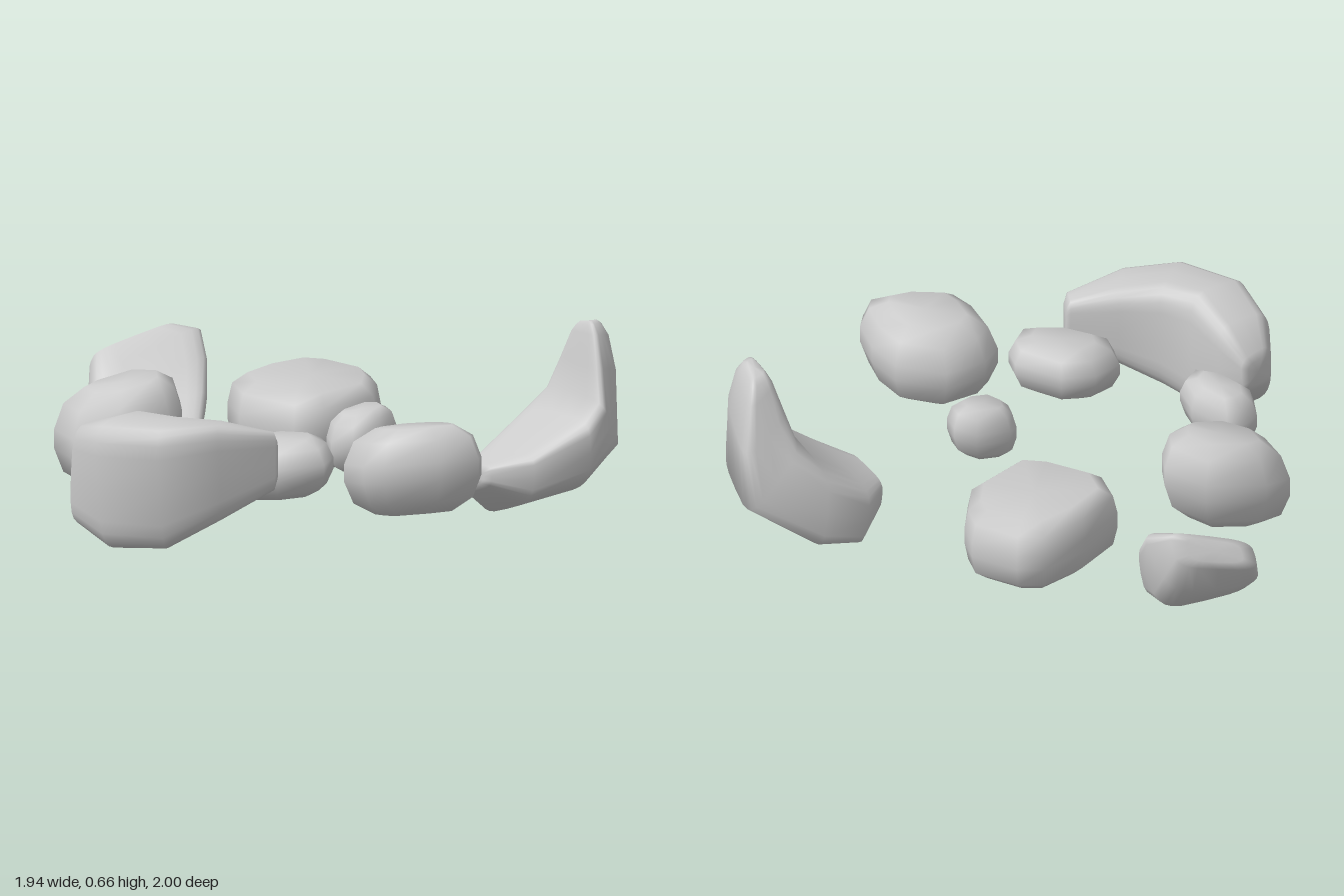
import * as THREE from 'three';

const material = new THREE.MeshStandardMaterial({ color: 0xcccccc });
const power = (v, e) => Math.sign(v) * Math.abs(v) ** e;
const centre = (ring) =>
  ring.reduce((s, p) => s.add(p), new THREE.Vector3()).divideScalar(ring.length);

// Skins a closed solid over rings of equal length, with a centre point on each end.
function loft(name, rings) {
  const n = rings[0].length;
  const points = rings.flat();
  const first = points.push(centre(rings[0])) - 1;
  const last = points.push(centre(rings[rings.length - 1])) - 1;
  const index = [];
  for (let j = 0; j < n; j++) {
    const k = (j + 1) % n;
    for (let r = 0; r < rings.length - 1; r++) {
      const a = r * n + j, b = r * n + k;
      index.push(a, b, a + n, b, b + n, a + n);
    }
    const end = (rings.length - 1) * n;
    index.push(first, k, j, last, end + j, end + k);
  }
  // Turn the faces outward whichever way the rings run
  let volume = 0;
  for (let i = 0; i < index.length; i += 3) {
    const [a, b, c] = [0, 1, 2].map((o) => points[index[i + o]]);
    volume += a.dot(b.clone().cross(c));
  }
  if (volume < 0) index.reverse();
  const geometry = new THREE.BufferGeometry().setFromPoints(points);
  geometry.setIndex(index);
  geometry.computeVertexNormals();
  const mesh = new THREE.Mesh(geometry, material);
  mesh.name = name;
  return mesh;
}

// Softly faceted boulder: a plan outline [x, z] swelling between two heights,
// tilted along x and z; flat is the size of its flat top and bottom.
function boulder(name, outline, bottom, top, tiltX = 0, tiltZ = 0, flat = 0.57) {
  const plan = outline.map(([x, z]) => new THREE.Vector3(x, 0, z));
  const c = centre(plan);
  const shoulder = 0.64 + flat * 0.4;
  const bulge = [[-1, flat], [-0.72, shoulder], [-0.2, 1], [0.2, 1], [0.72, shoulder], [1, flat]];
  return loft(name, bulge.map(([h, scale]) => {
    const y = (bottom + top) / 2 + h * (top - bottom) / 2;
    return plan.map((p) => {
      const dx = (p.x - c.x) * scale, dz = (p.z - c.z) * scale;
      return new THREE.Vector3(c.x + dx, y + dx * tiltX + dz * tiltZ, c.z + dz);
    });
  }));
}

// Small ring just beyond an end ring, to round the end off
function endRing(ring, previous) {
  const c = centre(ring);
  const push = c.clone().sub(centre(previous)).setLength(0.012);
  return ring.map((p) => p.clone().lerp(c, 0.35).add(push));
}

// Bent shard: a run of sections, each four corners [x, y, z] joined by a rounded quad.
function shard(name, sections) {
  const rings = sections.map((corners) => {
    const [a, b, c, d] = corners.map((p) => new THREE.Vector3(...p));
    const ring = [];
    for (let i = 0; i < 24; i++) {
      const t = (i / 24) * Math.PI * 2;
      const u = 0.5 + 0.51 * power(Math.cos(t), 0.5);
      const v = 0.5 + 0.51 * power(Math.sin(t), 0.5);
      ring.push(a.clone().lerp(b, u).lerp(d.clone().lerp(c, u), v));
    }
    return ring;
  });
  const n = rings.length;
  return loft(name, [endRing(rings[0], rings[1]), ...rings, endRing(rings[n - 1], rings[n - 2])]);
}

export function createModel() {
  const model = new THREE.Group();
  model.name = 'rockCluster';

  // Three bent shards on the rim
  model.add(
    shard('tallLeftShard', [
      [[0.47, 0.17, 0.35], [0.47, 0.2, 0.53], [0.47, 0.13, 0.53], [0.49, 0.07, 0.34]],
      [[0.56, 0.2, 0.29], [0.56, 0.25, 0.65], [0.57, 0.08, 0.62], [0.6, -0.02, 0.29]],
      [[0.72, 0.33, 0.3], [0.72, 0.36, 0.74], [0.74, 0.13, 0.71], [0.75, 0.01, 0.3]],
      [[0.77, 0.42, 0.37], [0.76, 0.42, 0.75], [0.88, 0.24, 0.69], [0.99, 0.2, 0.38]],
      [[0.79, 0.52, 0.43], [0.78, 0.52, 0.7], [0.89, 0.5, 0.66], [0.98, 0.4, 0.42]],
      [[0.81, 0.61, 0.48], [0.8, 0.62, 0.65], [0.88, 0.61, 0.63], [0.93, 0.56, 0.46]],
      [[0.82, 0.63, 0.5], [0.81, 0.65, 0.62], [0.86, 0.65, 0.61], [0.9, 0.62, 0.49]],
    ]),
    shard('curvedRightShard', [
      [[-0.77, 0.34, 0.06], [-0.9, 0.35, 0.08], [-0.91, 0.2, 0.08], [-0.78, 0.21, 0.06]],
      [[-0.73, 0.44, 0.14], [-0.94, 0.44, 0.14], [-0.96, 0.1, 0.15], [-0.74, 0.12, 0.13]],
      [[-0.72, 0.5, 0.28], [-0.98, 0.47, 0.31], [-0.94, 0.04, 0.31], [-0.72, 0.07, 0.26]],
      [[-0.67, 0.49, 0.38], [-0.88, 0.48, 0.53], [-0.82, 0.04, 0.49], [-0.66, 0.13, 0.37]],
      [[-0.56, 0.47, 0.46], [-0.69, 0.48, 0.61], [-0.65, 0.14, 0.58], [-0.56, 0.2, 0.46]],
      [[-0.44, 0.43, 0.56], [-0.47, 0.44, 0.63], [-0.47, 0.24, 0.63], [-0.44, 0.26, 0.57]],
    ]),
    shard('backShard', [
      [[-0.2, 0.11, -0.46], [-0.08, 0.13, -0.41], [-0.08, 0.1, -0.42], [-0.2, 0.09, -0.47]],
      [[-0.24, 0.12, -0.55], [0.02, 0.19, -0.5], [0.02, 0.1, -0.53], [-0.22, 0.08, -0.57]],
      [[-0.19, 0.15, -0.69], [0.15, 0.31, -0.64], [0.14, 0.12, -0.68], [-0.18, 0.09, -0.72]],
      [[-0.18, 0.21, -0.79], [0.23, 0.41, -0.73], [0.19, 0.17, -0.83], [-0.17, 0.13, -0.84]],
      [[-0.14, 0.33, -0.88], [0.25, 0.49, -0.79], [0.2, 0.28, -0.91], [-0.13, 0.22, -0.95]],
      [[-0.09, 0.4, -0.95], [0.18, 0.49, -0.86], [0.18, 0.38, -0.92], [-0.08, 0.32, -1.01]],
    ]),
  );

  // Softly faceted boulders
  model.add(
    boulder('largeBoulder', [[0.02, -0.28], [0.07, -0.42], [0.25, -0.49], [0.43, -0.51], [0.5, -0.45],
      [0.56, -0.28], [0.52, -0.18], [0.42, -0.06], [0.17, 0], [0.1, -0.08]], 0.13, 0.39, 0, -0.08, 0.76),
    boulder('backRightBoulder', [[-0.58, -0.38], [-0.55, -0.53], [-0.44, -0.55], [-0.23, -0.5],
      [-0.17, -0.35], [-0.23, -0.25], [-0.3, -0.22], [-0.48, -0.25]], 0.11, 0.43, 0.22),
    boulder('frontRightBoulder', [[-0.52, 0.43], [-0.48, 0.34], [-0.36, 0.31], [-0.25, 0.35],
      [-0.17, 0.5], [-0.2, 0.58], [-0.28, 0.64], [-0.42, 0.57]], 0.19, 0.38, 0.1),
    boulder('frontBoulder', [[-0.22, 0.78], [-0.2, 0.64], [-0.12, 0.6], [0.03, 0.61], [0.15, 0.73],
      [0.16, 0.85], [0.13, 0.96], [0.09, 1], [-0.04, 0.97], [-0.2, 0.87]], 0.15, 0.44, 0, 0.13),
    boulder('smallRightStone', [[-0.71, -0.1], [-0.68, -0.16], [-0.62, -0.17], [-0.56, -0.16],
      [-0.5, -0.04], [-0.51, 0.04], [-0.58, 0.07], [-0.65, 0.02]], 0.19, 0.37, 0, 0.3),
    boulder('smallCentreStone', [[0, 0.28], [0.03, 0.21], [0.07, 0.19], [0.2, 0.2],
      [0.24, 0.27], [0.22, 0.34], [0.14, 0.37], [0.03, 0.36]], 0.2, 0.39, 0.2),
  );
  return model;
}
